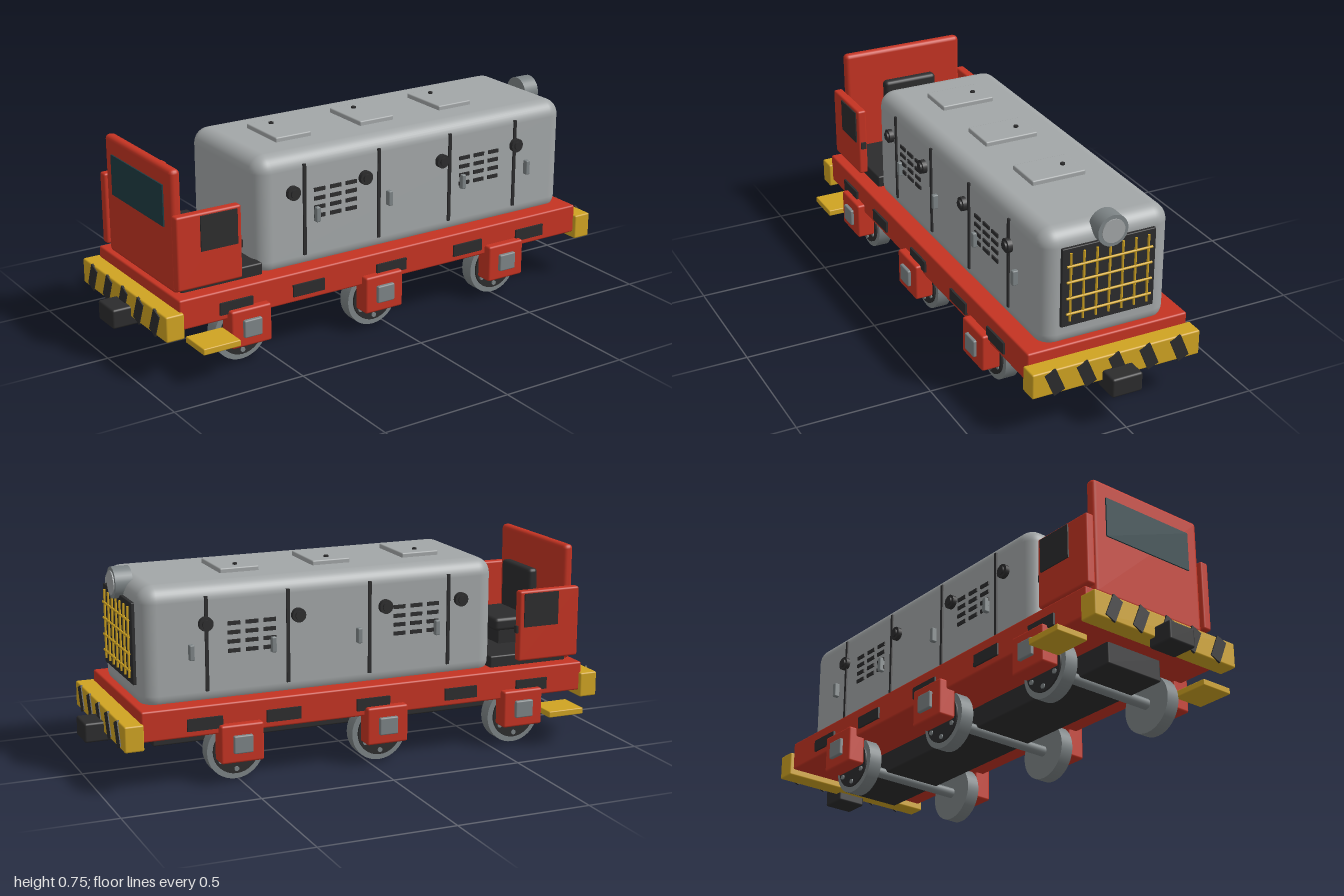
import * as THREE from 'three';
import { RoundedBoxGeometry } from 'three/addons/geometries/RoundedBoxGeometry.js';

const paint = (name, color, extra = {}) => {
  const m = new THREE.MeshStandardMaterial({ color, ...extra });
  m.name = name;
  return m;
};

export function createModel() {
  const red = paint('red paint', 0xc43322);
  const grey = paint('hood grey', 0xa2a6a7);
  const steel = paint('steel', 0x7c8385);
  const black = paint('black', 0x2c2c2d);
  const yellow = paint('warning yellow', 0xcfa322);
  const glass = paint('dark glass', 0x1e3c42);

  const model = new THREE.Group();
  model.name = 'locomotive';

  const add = (name, geometry, material, x, y, z, parent = model) => {
    const mesh = new THREE.Mesh(geometry, material);
    mesh.name = name;
    mesh.position.set(x, y, z);
    parent.add(mesh);
    return mesh;
  };
  // box given by its extents, with softened edges when r > 0
  const box = (name, mat, x0, x1, y0, y1, z0, z1, r = 0, parent = model) => {
    const size = [x1 - x0, y1 - y0, z1 - z0];
    const geo = r ? new RoundedBoxGeometry(...size, r > 0.02 ? 5 : 2, r) : new THREE.BoxGeometry(...size);
    return add(name, geo, mat, (x0 + x1) / 2, (y0 + y1) / 2, (z0 + z1) / 2, parent);
  };
  // cylinder lying along the x or z axis
  const rod = (name, mat, axis, r, len, x, y, z, sides = 24, parent = model) => {
    const geo = new THREE.CylinderGeometry(r, r, len, sides);
    if (axis === 'z') geo.rotateX(Math.PI / 2);
    if (axis === 'x') geo.rotateZ(-Math.PI / 2);
    return add(name, geo, mat, x, y, z, parent);
  };
  // box repeated on both long sides, z0 and z1 measured outward
  const sideBox = (name, mat, x0, x1, y0, y1, z0, z1, r = 0) => {
    box(name, mat, x0, x1, y0, y1, z0, z1, r);
    box(name, mat, x0, x1, y0, y1, -z1, -z0, r);
  };

  // Chassis
  box('frame', red, -0.87, 0.865, 0.19, 0.3, -0.31, 0.31, 0.007);
  box('underframeTank', black, -0.77, 0.77, 0.11, 0.2, -0.122, 0.122, 0.006);
  for (const x of [-0.652, -0.357, -0.003, 0.343, 0.637])
    sideBox('framePocket', black, x - 0.065, x + 0.065, 0.213, 0.257, 0.308, 0.318);

  // End beams with hazard stripes and couplers
  for (const s of [-1, 1]) {
    const end = new THREE.Group();
    end.name = s > 0 ? 'frontBeam' : 'rearBeam';
    model.add(end);
    add('beam', new RoundedBoxGeometry(0.07, 0.094, 0.65, 2, 0.006), yellow, s * 0.895, 0.212, 0, end);
    add('coupler', new RoundedBoxGeometry(0.1, 0.072, 0.117, 2, 0.008), black, s * 0.95, 0.169, 0, end);
    for (let i = -2; i <= 2; i++) {
      const stripe = add('hazardStripe', new THREE.BoxGeometry(0.008, 0.092, 0.045), black, s * 0.93, 0.212, i * 0.121, end);
      stripe.rotation.x = 0.4;
    }
  }

  // Wheel sets with axle boxes
  const wheelY = 0.109;
  for (const x of [-0.606, -0.05, 0.508]) {
    const set = new THREE.Group();
    set.name = 'wheelSet';
    model.add(set);
    rod('axle', steel, 'z', 0.02, 0.44, x, wheelY, 0, 20, set);
    for (const s of [-1, 1]) {
      rod('wheel', steel, 'z', 0.107, 0.052, x, wheelY, s * 0.235, 36, set);
      rod('wheelFace', black, 'z', 0.086, 0.008, x, wheelY, s * 0.264, 32, set);
      for (let i = 0; i < 6; i++) {
        const a = Math.PI / 6 + (i * Math.PI) / 3;
        rod('wheelBolt', steel, 'z', 0.009, 0.006, x + Math.cos(a) * 0.068, wheelY + Math.sin(a) * 0.068, s * 0.27, 10, set);
      }
    }
    sideBox('axleBox', red, x - 0.08, x + 0.08, 0.085, 0.225, 0.27, 0.34, 0.008);
    sideBox('axleCover', steel, x - 0.036, x + 0.036, 0.122, 0.187, 0.335, 0.353, 0.005);
  }
  sideBox('step', yellow, -0.83, -0.685, 0.123, 0.147, 0.27, 0.4, 0.004);

  // Engine hood
  box('hood', grey, -0.523, 0.84, 0.27, 0.716, -0.246, 0.246, 0.06);
  for (const x of [-0.285, 0.073, 0.427]) {
    box('roofHatch', grey, x - 0.074, x + 0.074, 0.71, 0.733, -0.104, 0.104, 0.005);
    add('hatchLatch', new THREE.CylinderGeometry(0.009, 0.009, 0.008, 12), black, x, 0.735, -0.053);
  }
  for (const x of [-0.332, -0.016, 0.3, 0.604])
    sideBox('doorSeam', black, x - 0.006, x + 0.006, 0.332, 0.672, 0.242, 0.252);
  for (const x of [-0.283, 0.027, 0.358, 0.662])
    sideBox('doorHandle', steel, x - 0.009, x + 0.009, 0.45, 0.506, 0.24, 0.266, 0.004);
  for (const x of [-0.381, -0.077, 0.262, 0.608])
    for (const s of [-1, 1]) {
      rod('hoodKnob', black, 'z', 0.026, 0.022, x, 0.575, s * 0.252, 20);
      rod('knobCentre', black, 'z', 0.016, 0.01, x, 0.575, s * 0.265, 16);
    }
  for (const x of [-0.202, 0.436])
    for (let c = -1; c <= 1; c++)
      for (let r = 0; r < 4; r++) {
        const cx = x + c * 0.067, cy = 0.469 + r * 0.033;
        sideBox('vent', black, cx - 0.023, cx + 0.023, cy - 0.007, cy + 0.007, 0.242, 0.251);
      }

  // Radiator grille
  box('grillePanel', black, 0.83, 0.852, 0.361, 0.655, -0.178, 0.178, 0.003);
  for (let i = -3; i <= 3; i++)
    add('grilleBar', new THREE.CylinderGeometry(0.0045, 0.0045, 0.255, 8), yellow, 0.856, 0.51, i * 0.0492);
  for (const y of [0.411, 0.47, 0.531, 0.59])
    rod('grilleBar', yellow, 'z', 0.0045, 0.325, 0.858, y, 0, 8);

  // Headlamp
  rod('headlampShell', steel, 'x', 0.057, 0.064, 0.838, 0.693, 0, 32);
  rod('headlampLens', grey, 'x', 0.043, 0.006, 0.871, 0.693, 0, 32);

  // Open cab
  box('cabFloor', black, -0.83, -0.51, 0.295, 0.343, -0.253, 0.253, 0.006);
  sideBox('cabSide', red, -0.862, -0.61, 0.322, 0.59, 0.254, 0.29, 0.008);
  sideBox('cabSidePanel', black, -0.771, -0.628, 0.453, 0.58, 0.287, 0.295);
  box('cabBack', red, -0.856, -0.816, 0.3, 0.743, -0.249, 0.249, 0.016);
  box('rearWindow', glass, -0.861, -0.853, 0.53, 0.68, -0.195, 0.195);
  sideBox('cabLatch', black, -0.612, -0.602, 0.43, 0.457, 0.262, 0.282);

  // Driver's seat
  box('seatBase', black, -0.75, -0.63, 0.34, 0.41, -0.09, 0.09);
  box('seatCushion', black, -0.78, -0.6, 0.4, 0.45, -0.12, 0.12, 0.014);
  box('seatBack', black, -0.785, -0.745, 0.42, 0.63, -0.11, 0.11, 0.014);

  return model;
}
